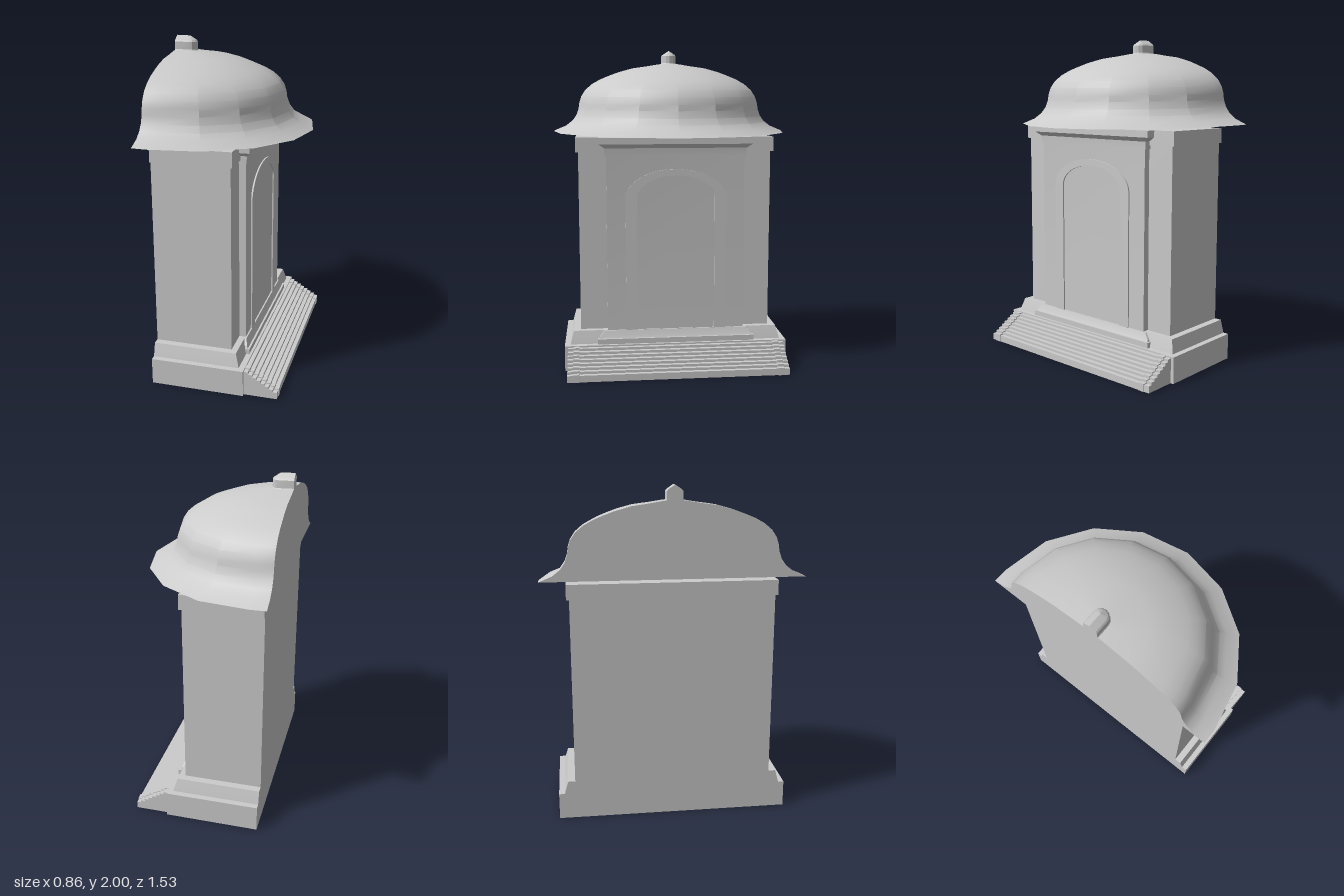
import * as THREE from 'three';
import { toCreasedNormals } from 'three/addons/utils/BufferGeometryUtils.js';

const material = new THREE.MeshStandardMaterial({ color: 0xcccccc, side: THREE.DoubleSide });
const BACK = -0.39;

function part(name, geometry, parent) {
  const mesh = new THREE.Mesh(geometry, material);
  mesh.name = name;
  parent.add(mesh);
  return mesh;
}

// Skin through closed rings of points, from bottom to top.
function loft(rings, { top = true, bottom = true, crease = 0.3 } = {}) {
  const n = rings[0].length;
  const index = [];
  for (let i = 0; i < rings.length - 1; i++) {
    for (let j = 0; j < n; j++) {
      const a = i * n + j, b = i * n + (j + 1) % n;
      index.push(a, b, b + n, a, b + n, a + n);
    }
  }
  const last = (rings.length - 1) * n;
  for (let j = 1; j < n - 1; j++) {
    if (top) index.push(last, last + j, last + j + 1);
    if (bottom) index.push(0, j + 1, j);
  }
  const g = new THREE.BufferGeometry();
  g.setAttribute('position', new THREE.Float32BufferAttribute(rings.flat(2), 3));
  g.setIndex(index);
  return toCreasedNormals(g, crease);
}

// Rectangular ring against the back plane: height, half depth, front reach.
const rectRing = ([y, hz, x]) => [[BACK, y, hz], [x, y, hz], [x, y, -hz], [BACK, y, -hz]];

// Half-round ring with a short straight run to the cut back plane.
function halfRing([r, y], segments, axis, back) {
  const ring = [[back, y, r]];
  for (let i = 0; i <= segments; i++) {
    const a = Math.PI * i / segments;
    ring.push([axis + r * Math.sin(a), y, r * Math.cos(a)]);
  }
  ring.push([back, y, -r]);
  // slight fall of the roof towards its front
  return ring.map(([x, h, z]) => [x, h - 0.02 * (x + 0.34), z]);
}

// Central block: height, half depth, front reach, started inside the wall.
const bayRing = ([y, hz, x]) => [[0.07, y, hz], [x, y, hz], [x, y, -hz], [0.07, y, -hz]];

// Flattened arch outline; adds its points to a Shape or Path.
function archOutline(path, halfWidth, rise, bottom, spring) {
  path.moveTo(-halfWidth, bottom);
  path.lineTo(halfWidth, bottom);
  path.lineTo(halfWidth, spring);
  path.absellipse(0, spring, halfWidth, rise, 0, Math.PI, false);
  path.lineTo(-halfWidth, bottom);
  return path;
}

// Stepped side profile extruded along the width.
function stepsGeometry(z0, z1, lift, reach) {
  const s = new THREE.Shape();
  const count = 8;
  s.moveTo(0.172, 0);
  s.lineTo(0.172, 0.15 + lift);
  for (let i = 0; i < count; i++) {
    const x = 0.2 + 0.025 * i + reach;
    s.lineTo(x, 0.15 - 0.0155 * i + lift);
    s.lineTo(x, i < count - 1 ? 0.15 - 0.0155 * (i + 1) + lift : 0);
  }
  const g = new THREE.ExtrudeGeometry(s, { depth: z1 - z0, bevelEnabled: false });
  return g.translate(0, 0, z0);
}

export function createModel() {
  const model = new THREE.Group();
  model.name = 'pavilion';

  // Hollow base, plinth, wall and cornice
  part('walls', loft([
    [0, 0.7, 0.175], [0.16, 0.7, 0.175], [0.16, 0.665, 0.14],
    [0.18, 0.66, 0.135], [0.24, 0.643, 0.117], [0.24, 0.6, 0.08],
    [1.36, 0.6, 0.08], [1.36, 0.617, 0.092], [1.45, 0.617, 0.092],
  ].map(rectRing), { bottom: false }), model);

  // Projecting central bay with its plinth and cornice
  part('centralBay', loft([
    [0.16, 0.495, 0.16], [0.193, 0.495, 0.16], [0.193, 0.485, 0.148],
    [0.205, 0.48, 0.142], [0.24, 0.45, 0.13], [0.24, 0.43, 0.121],
    [1.34, 0.43, 0.121], [1.34, 0.44, 0.126], [1.385, 0.44, 0.13],
    [1.41, 0.475, 0.153], [1.45, 0.475, 0.153],
  ].map(bayRing)), model);

  // Arched trim on the bay
  const arch = archOutline(new THREE.Shape(), 0.313, 0.18, 0.24, 1.075);
  arch.holes.push(archOutline(new THREE.Path(), 0.243, 0.14, 0.241, 1.075));
  const trim = new THREE.ExtrudeGeometry(arch, { depth: 0.012, bevelEnabled: false, curveSegments: 14 });
  trim.rotateY(Math.PI / 2).translate(0.118, 0, 0);
  part('archTrim', toCreasedNormals(trim, 0.5), model);

  // Steps with raised bands near both ends
  const steps = new THREE.Group();
  steps.name = 'steps';
  model.add(steps);
  part('stepFlight', stepsGeometry(-0.68, 0.68, 0, 0), steps);
  for (const s of [-1, 1]) {
    part('stepBand', stepsGeometry(s * 0.627 - 0.019, s * 0.627 + 0.019, 0.006, 0.004), steps);
  }

  // Half dome with flared eaves
  const domeProfile = [
    [0.767, 1.473], [0.69, 1.505], [0.645, 1.54], [0.618, 1.578], [0.602, 1.622], [0.597, 1.66],
    [0.583, 1.703], [0.555, 1.745], [0.51, 1.783], [0.456, 1.813], [0.4, 1.836],
    [0.335, 1.86], [0.244, 1.885], [0.14, 1.9], [0.07, 1.912], [0, 1.918],
  ];
  part('domeRoof', loft(domeProfile.map(p => halfRing(p, 8, -0.342, -0.43)), { top: false, crease: 0.38 }), model);

  // Ridge finial on the crown
  const finialProfile = [[0.06, 1.895], [0.046, 1.92], [0.046, 1.965], [0.038, 1.975], [0, 2]];
  part('finial', loft(finialProfile.map(p => halfRing(p, 6, -0.345, -0.43)), { top: false }), model);

  return model;
}
